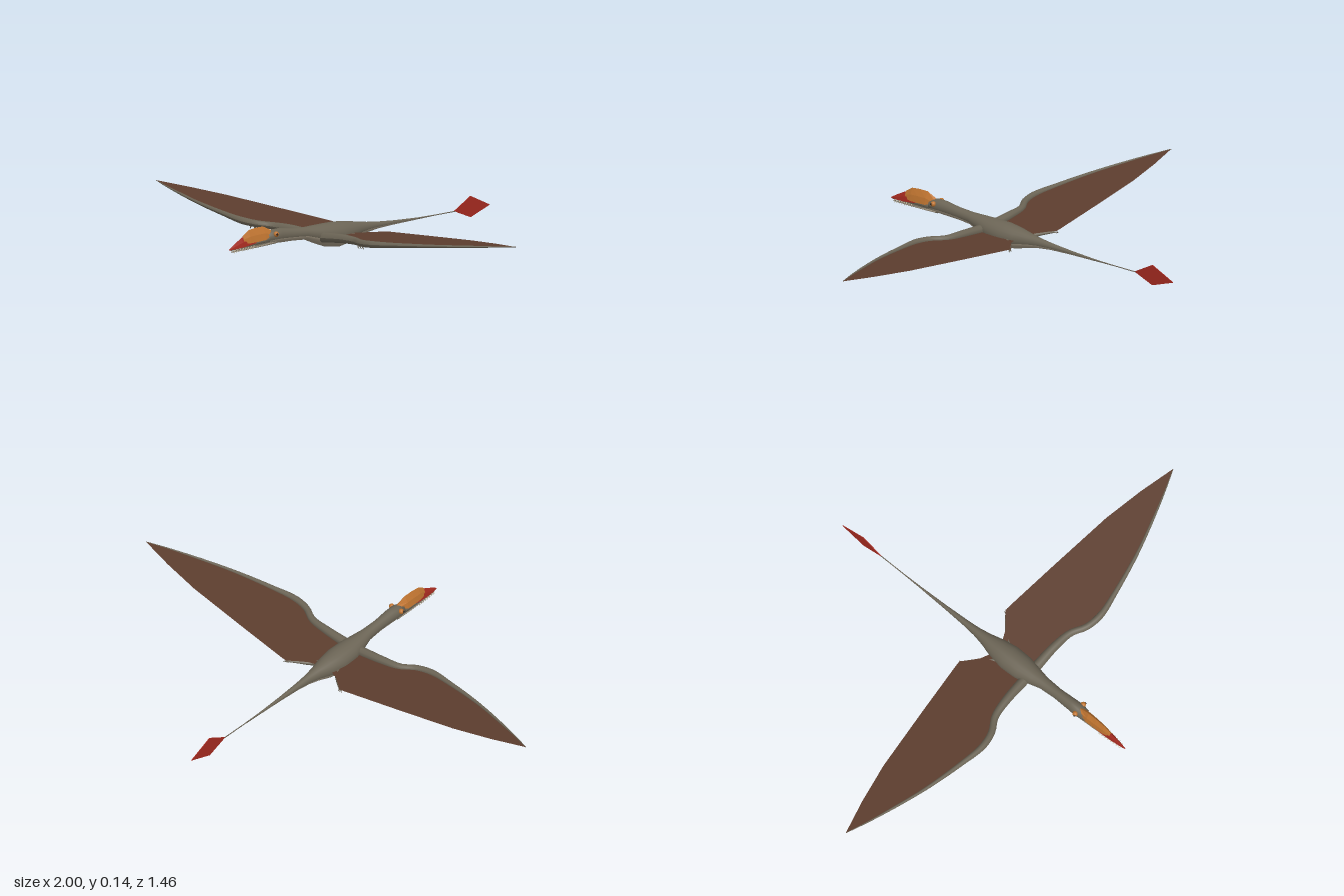
import * as THREE from 'three';

const mat = (name, color, side = THREE.FrontSide) => {
  const m = new THREE.MeshStandardMaterial({ color, side });
  m.name = name;
  return m;
};

// Closed loft along z through elliptical sections [z, y, rx, ry]; group 0 = back, group 1 = belly
function loft(sections, seg = 20, bellyFrom = -0.45) {
  const pos = [], back = [], belly = [];
  for (const [z, y, rx, ry] of sections)
    for (let j = 0; j < seg; j++) {
      const a = (j / seg) * Math.PI * 2;
      pos.push(Math.cos(a) * rx, y + Math.sin(a) * ry, z);
    }
  const n = sections.length;
  for (let i = 0; i < n - 1; i++)
    for (let j = 0; j < seg; j++) {
      const k = (j + 1) % seg, a = i * seg + j, b = i * seg + k;
      const list = Math.sin(((j + 0.5) / seg) * Math.PI * 2) < bellyFrom ? belly : back;
      list.push(a, b, b + seg, a, b + seg, a + seg);
    }
  for (let j = 1; j < seg - 1; j++) {
    const e = (n - 1) * seg;
    back.push(0, j + 1, j, e, e + j, e + j + 1);
  }
  const g = new THREE.BufferGeometry();
  g.setAttribute('position', new THREE.Float32BufferAttribute(pos, 3));
  g.setIndex([...back, ...belly]);
  g.addGroup(0, back.length, 0);
  g.addGroup(back.length, belly.length, 1);
  g.computeVertexNormals();
  return g;
}

// Tube along points whose radius follows a list of values
function taperTube(points, radii, n = 32, seg = 10) {
  const curve = new THREE.CatmullRomCurve3(points.map((p) => new THREE.Vector3(...p)));
  const g = new THREE.TubeGeometry(curve, n, 1, seg);
  const p = g.attributes.position, v = new THREE.Vector3();
  for (let i = 0; i < p.count; i++) {
    const t = Math.floor(i / (seg + 1)) / n;
    const f = t * (radii.length - 1), k = Math.min(Math.floor(f), radii.length - 2);
    const r = THREE.MathUtils.lerp(radii[k], radii[k + 1], f - k);
    const c = curve.getPointAt(t);
    v.fromBufferAttribute(p, i).sub(c).multiplyScalar(r).add(c);
    p.setXYZ(i, v.x, v.y, v.z);
  }
  g.computeVertexNormals();
  return g;
}

// Steep ridge along z from sections [z, baseY, topY, halfWidth]
function ridge(sections) {
  const pos = [];
  const tri = (...c) => c.forEach((q) => pos.push(...q));
  const rows = sections.map(([z, b, t, w]) => [
    [w, b, z], [w * 0.7, b + (t - b) * 0.5, z], [0, t, z],
    [-w * 0.7, b + (t - b) * 0.5, z], [-w, b, z],
  ]);
  for (let i = 0; i < rows.length - 1; i++)
    for (let j = 0; j < 5; j++) {
      const k = (j + 1) % 5, [A, B] = [rows[i], rows[i + 1]];
      tri(A[j], A[k], B[k], A[j], B[k], B[j]);
    }
  const first = rows[0], last = rows[rows.length - 1];
  for (let j = 1; j < 4; j++) {
    tri(first[0], first[j + 1], first[j]);
    tri(last[0], last[j], last[j + 1]);
  }
  const g = new THREE.BufferGeometry();
  g.setAttribute('position', new THREE.Float32BufferAttribute(pos, 3));
  g.computeVertexNormals();
  return g;
}

export function createModel() {
  const root = new THREE.Group();
  root.name = 'flyingReptile';
  const skin = mat('grey skin', 0x6b6455);
  const belly = mat('pale belly', 0xa09480);
  const membrane = mat('brown membrane', 0x5c3d2e, THREE.DoubleSide);
  const red = mat('red', 0xa52a20, THREE.DoubleSide);
  const orange = mat('orange', 0xbf7430);
  const ivory = mat('ivory', 0xd8ccb0);
  const dark = mat('dark', 0x1c1612);
  const add = (name, geo, material, parent = root) => {
    const m = new THREE.Mesh(geo, material);
    m.name = name;
    parent.add(m);
    return m;
  };

  // Body, neck and tail base
  add('body', loft([
    [-0.32, 0.052, 0.004, 0.004], [-0.2, 0.054, 0.008, 0.008], [-0.1, 0.056, 0.013, 0.014],
    [-0.04, 0.056, 0.018, 0.021], [0.01, 0.055, 0.027, 0.03], [0.07, 0.052, 0.044, 0.043],
    [0.13, 0.051, 0.054, 0.051], [0.2, 0.057, 0.051, 0.046], [0.26, 0.068, 0.037, 0.035],
    [0.31, 0.078, 0.026, 0.025], [0.38, 0.083, 0.022, 0.025], [0.45, 0.089, 0.025, 0.029],
    [0.49, 0.09, 0.027, 0.028], [0.52, 0.086, 0.023, 0.022],
  ]), [skin, belly]);

  // Head
  add('upperJaw', loft([
    [0.48, 0.085, 0.024, 0.022], [0.56, 0.08, 0.019, 0.013],
    [0.64, 0.075, 0.012, 0.008], [0.72, 0.065, 0.002, 0.003],
  ], 14), [skin, belly]);
  add('lowerJaw', loft([
    [0.48, 0.07, 0.021, 0.01], [0.56, 0.064, 0.017, 0.006],
    [0.64, 0.061, 0.011, 0.005], [0.715, 0.057, 0.002, 0.002],
  ], 14, 0.3), [skin, belly]);
  add('crest', ridge([
    [0.495, 0.1, 0.117, 0.014], [0.54, 0.085, 0.137, 0.02], [0.58, 0.083, 0.137, 0.018],
    [0.62, 0.082, 0.133, 0.015], [0.652, 0.085, 0.113, 0.009],
  ]), orange);
  add('beakTip', ridge([
    [0.59, 0.08, 0.09, 0.017], [0.62, 0.075, 0.116, 0.0155], [0.66, 0.07, 0.107, 0.012],
    [0.7, 0.067, 0.086, 0.007], [0.728, 0.065, 0.069, 0.001],
  ]), red);

  // Tail rod and diamond vane
  add('tailRod', taperTube([[0, 0.052, -0.31], [0, 0.052, -0.42], [0, 0.052, -0.54]],
    [0.004, 0.002, 0.002], 8, 8), skin);
  const diamond = new THREE.Shape([[0.53, 0.053], [0.622, 0.102], [0.73, 0.053], [0.622, 0.017]]
    .map((p) => new THREE.Vector2(...p)));
  const vane = new THREE.ExtrudeGeometry(diamond, { depth: 0.003, bevelEnabled: false });
  vane.translate(0, 0, -0.0015).rotateY(Math.PI / 2);
  add('tailVane', vane, red);

  const wingY = (x) => 0.05 + 0.083 * x;
  for (const s of [1, -1]) {
    const side = new THREE.Group();
    side.name = s > 0 ? 'leftSide' : 'rightSide';
    root.add(side);

    // Wing membrane, rising towards the tip
    const lead = [[0.03, 0.235], [0.15, 0.238], [0.23, 0.25], [0.29, 0.283], [0.36, 0.295],
      [0.47, 0.28], [0.65, 0.243], [0.83, 0.19], [0.92, 0.16], [1, 0.13]];
    const trail = [[0.85, 0.09], [0.68, 0.055], [0.4, 0.02], [0.16, -0.008], [0.14, -0.009],
      [0.11, 0.018], [0.075, 0.045], [0.03, 0.065]];
    const flat = new THREE.ShapeGeometry(new THREE.Shape(
      [...lead, ...trail].map(([x, z]) => new THREE.Vector2(s * x, z))));
    const p = flat.attributes.position;
    for (let i = 0; i < p.count; i++)
      p.setXYZ(i, p.getX(i), wingY(Math.abs(p.getX(i))), p.getY(i));
    flat.computeVertexNormals();
    add('wingMembrane', flat, membrane, side);

    // Arm and long wing finger along the leading edge
    add('wingArm', taperTube(
      lead.map(([x, z]) => [s * x, wingY(x) + (x < 0.2 ? 0.004 : 0), z]),
      [0.021, 0.018, 0.014, 0.014, 0.01, 0.008, 0.006, 0.005, 0.003, 0.001], 48), skin, side);

    // Small clawed fingers at the wrist
    for (let i = 0; i < 3; i++) {
      const x = 0.27 + i * 0.018;
      add('claw', taperTube([[s * x, wingY(x) - 0.006, 0.275 + i * 0.006],
        [s * (x + 0.006), wingY(x) - 0.016, 0.285 + i * 0.005],
        [s * (x + 0.008), wingY(x) - 0.022, 0.28 + i * 0.005]], [0.004, 0.003, 0.0005], 6, 6), skin, side);
    }

    // Trailing leg with spread toes
    add('leg', taperTube([[s * 0.03, 0.045, 0.11], [s * 0.07, 0.045, 0.06], [s * 0.105, 0.052, 0.025],
      [s * 0.135, 0.056, 0.0]], [0.013, 0.01, 0.006, 0.004], 16, 8), skin, side);
    for (let i = 0; i < 3; i++)
      add('toe', taperTube([[s * 0.128, 0.056, 0.005], [s * (0.134 + i * 0.005), 0.054, -0.003],
        [s * (0.136 + i * 0.009), 0.053, -0.012]], [0.003, 0.002, 0.0005], 5, 6), skin, side);

    // Eye
    const eye = add('eye', new THREE.SphereGeometry(0.011, 16, 12), orange, side);
    eye.position.set(s * 0.025, 0.102, 0.49);
    const pupil = add('pupil', new THREE.SphereGeometry(0.005, 12, 8), dark, side);
    pupil.position.set(s * 0.0325, 0.103, 0.493);

    // Interlocking teeth
    for (let i = 0; i < 8; i++) {
      const t = i / 7, w = 0.015 - 0.01 * t;
      const tooth = add('tooth', new THREE.ConeGeometry(0.0025, 0.018, 6), ivory, side);
      tooth.position.set(s * (w + 0.002), 0.063 - 0.006 * t, 0.61 + 0.095 * t);
      tooth.rotation.set(Math.PI - 0.25, 0, s * 0.3);
    }
  }
  return root;
}
